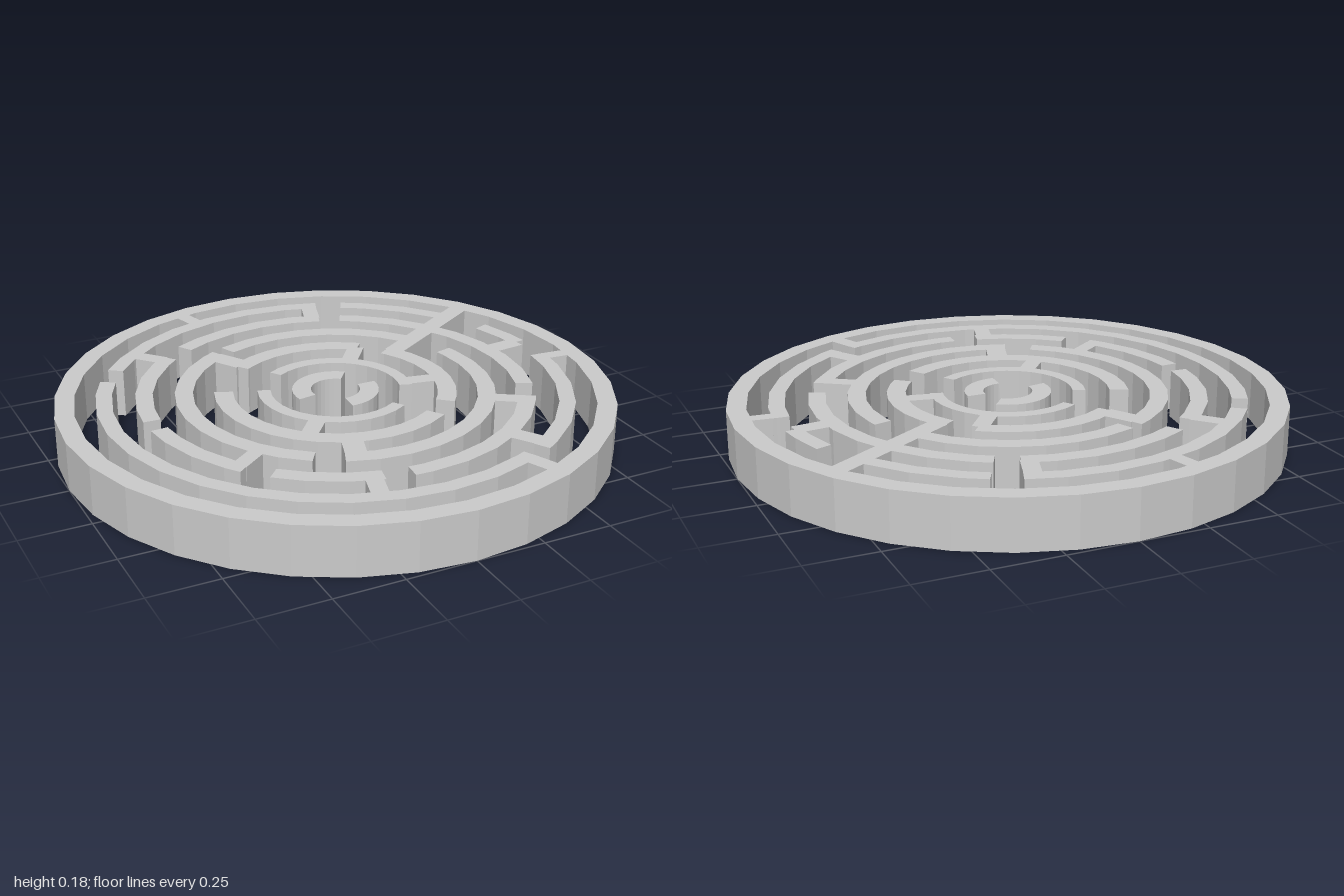
import * as THREE from 'three';

const H = 0.18;                 // wall height
const STEP = 360 / 32;          // facet angle of the curved walls
const rad = THREE.MathUtils.degToRad;

// [inner radius, outer radius] of each ring, outermost first
const RINGS = [
  [0.93, 1.0], [0.797, 0.855], [0.653, 0.715], [0.51, 0.575],
  [0.367, 0.435], [0.233, 0.28], [0.088, 0.156],
];

// Curved walls: [ring index, start, end] in degrees from +x towards +z
const ARCS = [
  [1, 217.3, 290.5], [1, 65, 210], [1, 3.5, 60], [1, 340, 354], [1, 297.5, 330],
  [2, 239, 290.5], [2, 297.5, 382], [2, 31, 95], [2, 103, 133], [2, 141.3, 177], [2, 183, 230],
  [3, 247, 330], [3, 345, 472.7], [3, 123.5, 242],
  [4, 234.7, 308.5], [4, 324, 400.5], [4, 56, 202],
  [5, 237, 378], [5, 56, 203],
  [6, 170, 309], [6, 0, 93],
];

// Straight walls: [angle, inner ring index, outer ring index, thickness]
const SPOKES = [
  [255, 1, 0, 0.055], [67, 1, 0, 0.06], [5.2, 1, 0, 0.05],
  [288.3, 2, 1, 0.06], [228, 2, 1, 0.06], [57.3, 2, 1, 0.07], [106, 2, 1, 0.06], [354, 2, 1, 0.07],
  [143.5, 3, 2, 0.055], [33.5, 3, 2, 0.06],
  [238.5, 4, 3, 0.075], [108.5, 4, 3, 0.075],
  [307.5, 5, 4, 0.06], [10.5, 5, 4, 0.06], [129.5, 5, 4, 0.06],
  [328.3, 4, 0, 0.07],
];

const material = new THREE.MeshStandardMaterial({ color: 0xcccccc, flatShading: true });

// Angles of an arc: its two ends plus every facet corner between them
function facetAngles(start, end) {
  const list = [start];
  for (let k = Math.floor(start / STEP) + 1; k * STEP < end - 0.01; k++) list.push(k * STEP);
  list.push(end);
  return list;
}

const point = (r, a) => new THREE.Vector2(r * Math.cos(rad(a)), r * Math.sin(rad(a)));

// Raise a plan drawn in x and z to the wall height
function raise(shape, name) {
  const geometry = new THREE.ExtrudeGeometry(shape, { depth: H, bevelEnabled: false });
  geometry.rotateX(Math.PI / 2).translate(0, H, 0);
  const mesh = new THREE.Mesh(geometry, material);
  mesh.name = name;
  return mesh;
}

function curvedWall([ring, start, end]) {
  const [inner, outer] = RINGS[ring];
  const angles = facetAngles(start, end);
  const outline = angles.map(a => point(outer, a));
  outline.push(...angles.reverse().map(a => point(inner, a)));
  return raise(new THREE.Shape(outline), 'curvedWall');
}

function straightWall([angle, from, to, thickness]) {
  // Ends sink slightly into the rings they join
  const r0 = RINGS[from][1] - 0.025, r1 = RINGS[to][0] + 0.025;
  const geometry = new THREE.BoxGeometry(r1 - r0, H, thickness);
  geometry.translate((r0 + r1) / 2, H / 2, 0);
  const mesh = new THREE.Mesh(geometry, material);
  mesh.rotation.y = -rad(angle);
  mesh.name = 'straightWall';
  return mesh;
}

export function createModel() {
  const model = new THREE.Group();
  model.name = 'roundMaze';

  // Closed outer rim
  const circle = r => facetAngles(0, 360).slice(0, -1).map(a => point(r, a));
  const rim = new THREE.Shape(circle(RINGS[0][1]));
  rim.holes.push(new THREE.Path(circle(RINGS[0][0])));
  model.add(raise(rim, 'outerRim'));

  // Concentric walls with gaps
  const curved = new THREE.Group();
  curved.name = 'curvedWalls';
  ARCS.forEach(arc => curved.add(curvedWall(arc)));

  // Radial walls that block the corridors
  const straight = new THREE.Group();
  straight.name = 'straightWalls';
  SPOKES.forEach(spoke => straight.add(straightWall(spoke)));

  model.add(curved, straight);
  return model;
}
